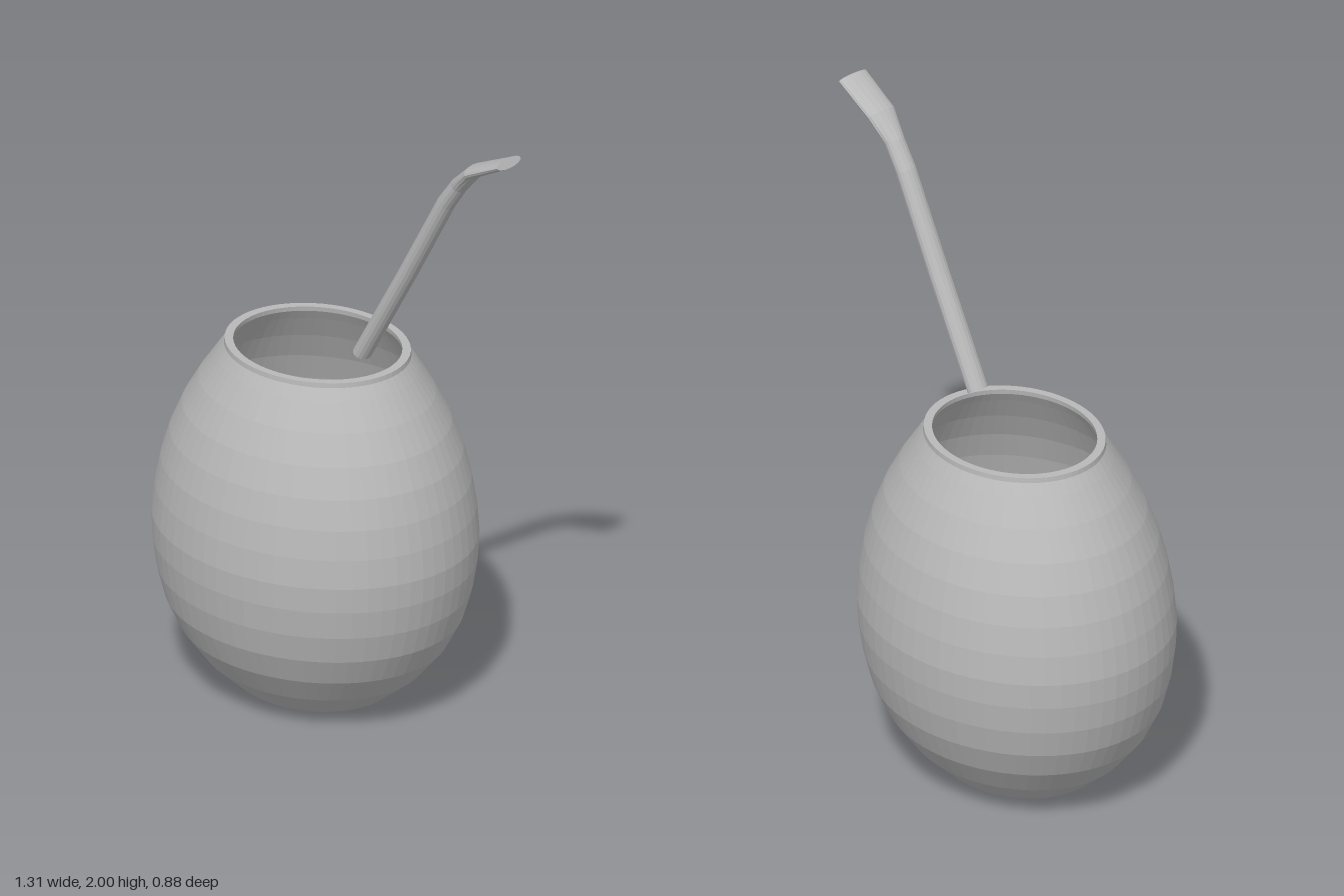
import * as THREE from 'three';

const grey = new THREE.MeshStandardMaterial({ color: 0xb8b8b8, flatShading: true });
grey.name = 'plain grey';

// Hollow oval cup: outer wall up, over the rim, inner wall down to the floor
function makeGourd() {
  const outer = [
    [0.252, 0.03], [0.35, 0.11], [0.425, 0.2], [0.472, 0.29], [0.498, 0.38], [0.512, 0.47],
    [0.516, 0.55], [0.507, 0.64], [0.49, 0.73], [0.463, 0.82], [0.425, 0.91], [0.374, 1.0],
    [0.32, 1.08], [0.295, 1.115], [0.293, 1.13],
  ];
  const wall = 0.027;
  const inner = outer.slice(1, -1).reverse().map(([r, y]) => [r - wall, y]);
  const profile = [
    [0, 0], [0.16, 0], [0.21, 0.008], ...outer,
    [0.293 - wall, 1.13], ...inner, [0.243, 0.035], [0, 0.035],
  ].map(([r, y]) => new THREE.Vector2(r, y));

  const geometry = new THREE.LatheGeometry(profile, 64);
  const p = geometry.attributes.position;
  for (let i = 0; i < p.count; i++) {
    // oval plan, leaning very slightly towards the straw
    p.setX(i, p.getX(i) - 0.151 + 0.016 * p.getY(i));
    p.setZ(i, p.getZ(i) * 0.852);
  }
  geometry.computeVertexNormals();
  const mesh = new THREE.Mesh(geometry, grey);
  mesh.name = 'gourdCup';
  return mesh;
}

// Bent straw: round tube flattening into a wide mouthpiece
function makeStraw() {
  // centre x, centre y, half thickness, half width
  const sections = [
    [0.068, 1.176, 0.027, 0.034],
    [0.245, 1.49, 0.027, 0.034],
    [0.4, 1.775, 0.027, 0.033],
    [0.452, 1.85, 0.025, 0.033],
    [0.515, 1.917, 0.02, 0.049],
    [0.647, 1.985, 0.015, 0.052],
  ];
  const last = sections.length - 1;
  const geometry = new THREE.CylinderGeometry(1, 1, 1, 16, last);
  const p = geometry.attributes.position;
  for (let i = 0; i < p.count; i++) {
    const k = Math.round((p.getY(i) + 0.5) * last);
    const [cx, cy, thick, wide] = sections[k];
    const a = sections[Math.max(k - 1, 0)];
    const b = sections[Math.min(k + 1, last)];
    const t = new THREE.Vector2(b[0] - a[0], b[1] - a[1]).normalize();
    const u = p.getX(i) * thick;
    p.setXYZ(i, cx + t.y * u, cy - t.x * u, 0.026 + p.getZ(i) * wide);
  }
  geometry.computeVertexNormals();
  const mesh = new THREE.Mesh(geometry, grey);
  mesh.name = 'drinkingStraw';
  return mesh;
}

export function createModel() {
  const model = new THREE.Group();
  model.name = 'gourdCupWithStraw';
  model.add(makeGourd(), makeStraw());
  return model;
}
